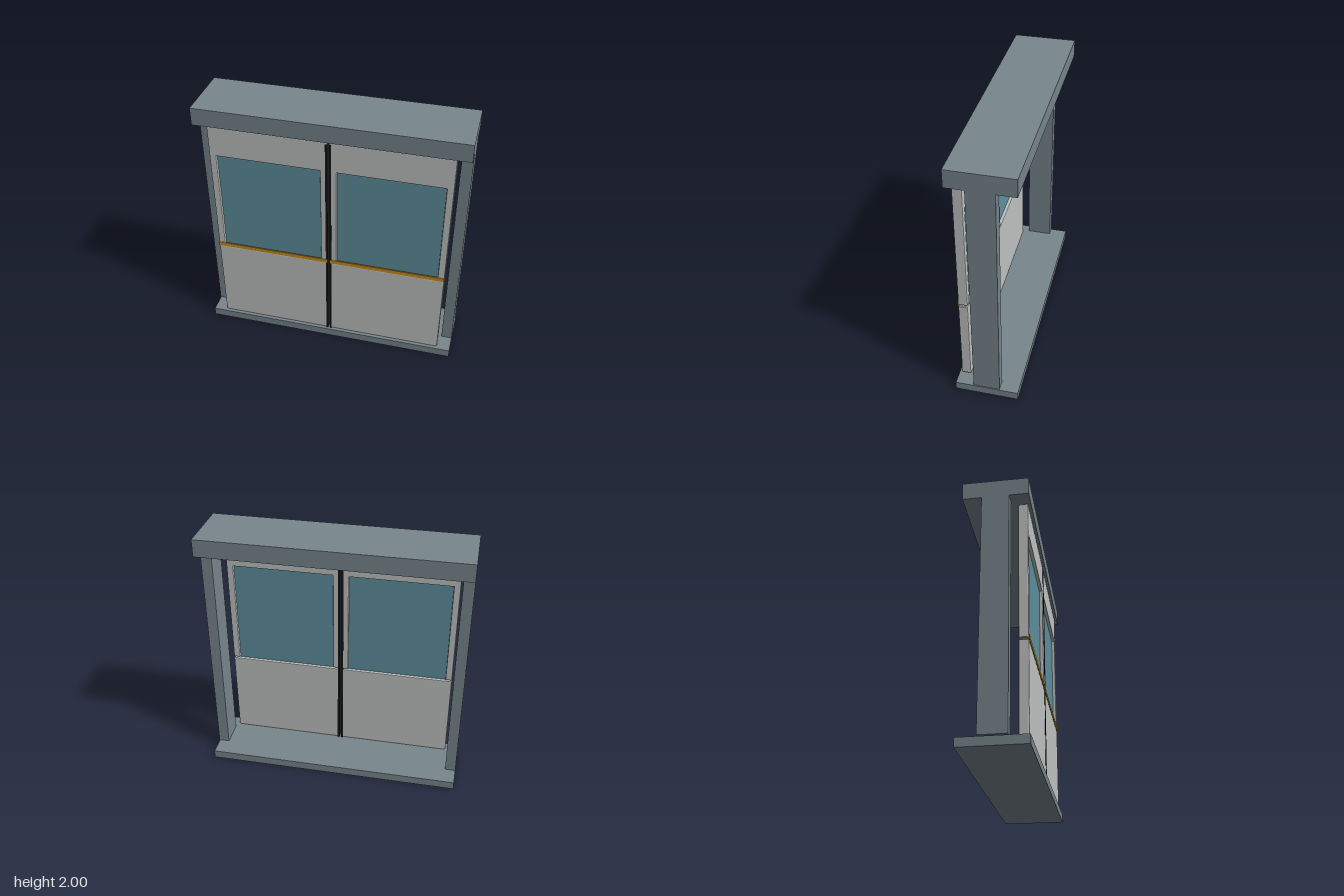
import * as THREE from 'three';

const mat = (name, color) => {
  const m = new THREE.MeshStandardMaterial({ color });
  m.name = name;
  return m;
};

// Box given by its minimum and maximum corners
function box(name, material, [x0, y0, z0], [x1, y1, z1]) {
  const g = new THREE.BoxGeometry(x1 - x0, y1 - y0, z1 - z0);
  const mesh = new THREE.Mesh(g, material);
  mesh.name = name;
  mesh.position.set((x0 + x1) / 2, (y0 + y1) / 2, (z0 + z1) / 2);
  return mesh;
}

// Door slab cut from an outline, with softened edges
function slab(name, material, points, z0, z1) {
  const b = 0.006;
  const shape = new THREE.Shape(points.map(([x, y]) => new THREE.Vector2(x, y)));
  const g = new THREE.ExtrudeGeometry(shape, {
    depth: z1 - z0 - 2 * b, bevelEnabled: true, bevelThickness: b,
    bevelSize: b, bevelOffset: -b, bevelSegments: 2,
  });
  g.translate(0, 0, z0 + b);
  const mesh = new THREE.Mesh(g, material);
  mesh.name = name;
  return mesh;
}

export function createModel() {
  const frame = mat('frame steel', 0x78868d);
  const panel = mat('door panel grey', 0xc0c4c2);
  const glass = mat('window glass', 0x5f909f);
  const rubber = mat('seal rubber', 0x18191b);
  const amber = mat('stripe amber', 0xc98f1e);

  const model = new THREE.Group();
  model.name = 'slidingDoorway';

  // Fixed frame
  model.add(box('header', frame, [-1, 1.865, -0.24], [1, 2, 0.24]));
  model.add(box('threshold', frame, [-1, 0, -0.24], [1, 0.065, 0.24]));

  const zBack = 0.15, zFront = 0.22;
  const inner = 0.008, outer = 0.897, c = 0.01;

  for (const s of [1, -1]) {
    const side = s > 0 ? 'left' : 'right';
    // Box mirrored to this side
    const sideBox = (name, m, [x0, y0, z0], [x1, y1, z1]) => {
      const xs = [x0 * s, x1 * s].sort((a, b) => a - b);
      return box(side + name, m, [xs[0], y0, z0], [xs[1], y1, z1]);
    };
    const sideSlab = (name, pts) =>
      slab(side + name, panel, pts.map(([x, y]) => [x * s, y]), zBack, zFront);

    model.add(sideBox('Post', frame, [0.917, 0.074, -0.1], [1, 1.865, 0.1]));

    const door = new THREE.Group();
    door.name = side + 'Door';

    // Lower panel with clipped corners
    door.add(sideSlab('LowerPanel', [
      [inner + c, 0.07], [outer - c, 0.07], [outer, 0.07 + c], [outer, 0.767 - c / 2],
      [outer - c / 2, 0.767], [inner + c / 2, 0.767], [inner, 0.767 - c / 2], [inner, 0.07 + c],
    ]));
    // Upper window surround, open at the bottom
    door.add(sideSlab('WindowSurround', [
      [0.847, 0.778], [outer - c / 2, 0.778], [outer, 0.778 + c / 2], [outer, 1.857 - c],
      [outer - c, 1.857], [inner + c, 1.857], [inner, 1.857 - c], [inner, 0.778],
      [0.06, 0.778], [0.06, 1.613], [0.847, 1.613],
    ]));
    door.add(sideBox('Window', glass, [0.058, 0.765, 0.175], [0.849, 1.615, 0.195]));
    door.add(sideBox('Stripe', amber, [inner, 0.768, 0.215], [outer, 0.8, 0.224]));
    // Rubber edge where the two doors meet
    door.add(sideBox('Seal', rubber, [0.0075, 0.066, 0.148], [0.022, 1.84, 0.222]));
    model.add(door);
  }
  return model;
}
